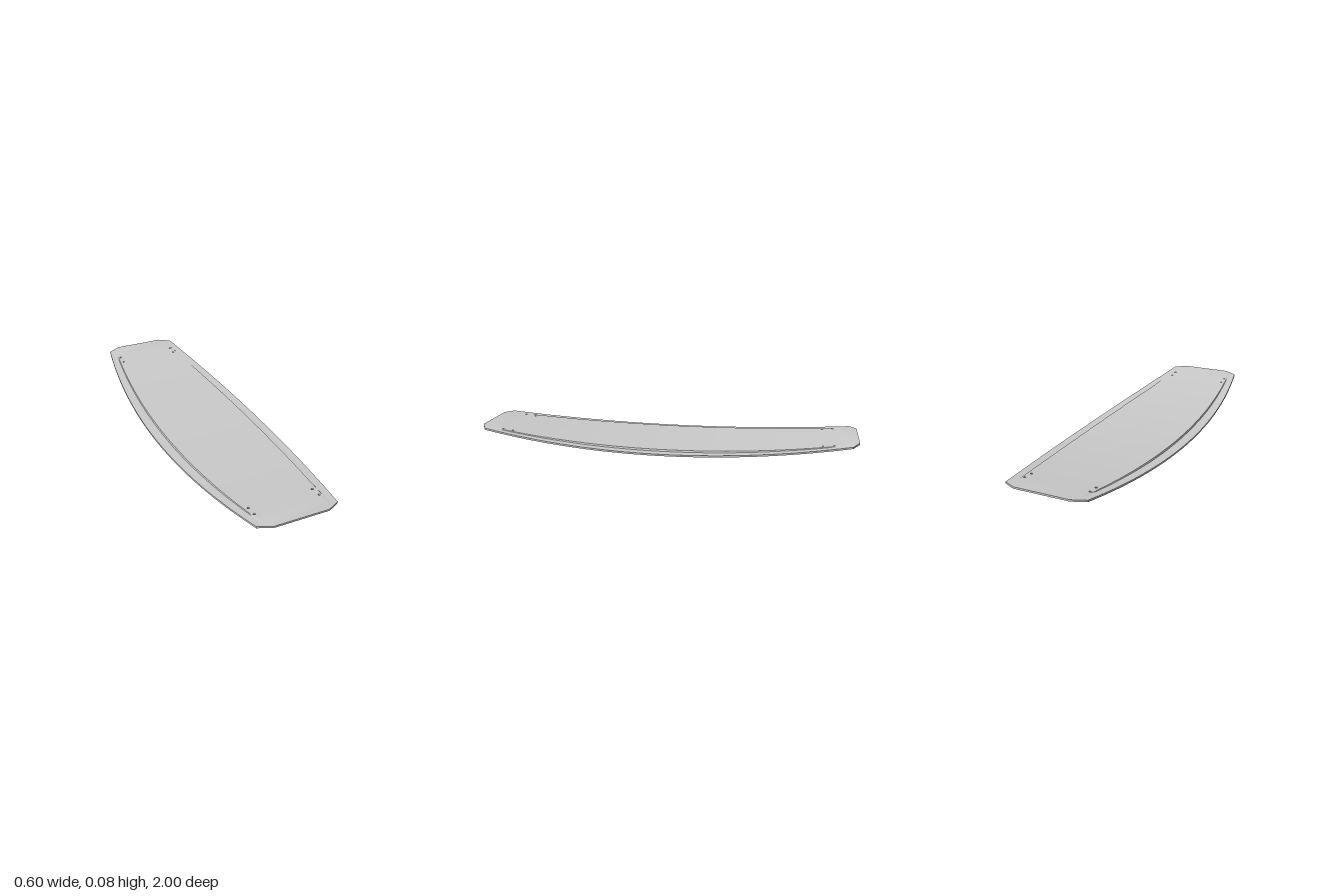
import * as THREE from 'three';
import { toCreasedNormals } from 'three/addons/utils/BufferGeometryUtils.js';

const CORNER = 0.965, HOLE_R = 0.006, HOLE_X = 0.167, STEP_W = 0.003;
const HOLE_Z = [0.82, 0.875];

// Plan outline: bowed sides, then clipped corners at both tips
function outer(z) {
  const a = Math.abs(z);
  if (a <= CORNER) return 0.298 - 0.092 * (a / CORNER) ** 2;
  return THREE.MathUtils.lerp(0.206, 0.14, (a - CORNER) / (1 - CORNER));
}
// Edge of the raised deck
const inner = z => Math.min(0.243 - 0.082 * z * z, outer(z) - 0.01);

// Rocker curve of the underside, rim surface and raised deck surface
const bottomY = z => 0.068 * z * z;
const rimY = z => bottomY(z) + 0.009;
const deckY = z => rimY(z) + 0.009 * Math.max(0, 1 - z * z);

function createBoard() {
  const pos = [];
  const tri = (...pts) => pts.forEach(p => pos.push(...p));
  const quad = (a, b, c, d) => { tri(a, b, c); tri(a, c, d); };

  // One half section: deck edge, foot of the step, rail top, rail bottom, underside
  const section = (z, s) => [
    [s * inner(z), deckY(z), z],
    [s * (inner(z) + STEP_W), rimY(z), z],
    [s * outer(z), rimY(z), z],
    [s * outer(z), bottomY(z), z],
    [s * inner(z), bottomY(z), z],
  ];

  // Middle panel of a slice, pierced by any holes lying in it
  const panel = (z0, z1) => {
    const shape = new THREE.Shape([
      new THREE.Vector2(-inner(z1), -z1), new THREE.Vector2(inner(z1), -z1),
      new THREE.Vector2(inner(z0), -z0), new THREE.Vector2(-inner(z0), -z0),
    ]);
    for (const hz of HOLE_Z.flatMap(h => [h, -h])) {
      if (hz < z0 || hz > z1) continue;
      for (const hx of [-HOLE_X, HOLE_X]) {
        shape.holes.push(new THREE.Path().absarc(hx, -hz, HOLE_R, 0, Math.PI * 2, true));
      }
    }
    const flat = new THREE.ShapeGeometry(shape, 6).toNonIndexed().attributes.position;
    for (let i = 0; i < flat.count; i += 3) {
      const at = (k, f) => [flat.getX(i + k), f(-flat.getY(i + k)), -flat.getY(i + k)];
      tri(at(0, deckY), at(1, deckY), at(2, deckY));
      tri(at(0, bottomY), at(2, bottomY), at(1, bottomY));
    }
  };

  // Slices along the length, placed so that each hole sits inside one slice
  const half = Array.from({ length: 15 }, (_, i) => (i + 1) * 0.05);
  half.push(0.79, 0.85, 0.9, CORNER, 1);
  const zs = [...half.map(z => -z).reverse(), 0, ...half];

  for (let i = 0; i < zs.length - 1; i++) {
    panel(zs[i], zs[i + 1]);
    for (const s of [1, -1]) {
      const a = section(zs[i], s), b = section(zs[i + 1], s);
      for (let k = 0; k < 4; k++) {
        if (s > 0) quad(a[k], b[k], b[k + 1], a[k + 1]);
        else quad(a[k], a[k + 1], b[k + 1], b[k]);
      }
    }
  }

  // Tip walls
  for (const z of [1, -1]) {
    const r = section(z, z), l = section(z, -z);
    quad(l[4], r[4], r[0], l[0]);
    for (const [p, flip] of [[r, false], [l, true]]) {
      const t = [[p[4], p[3], p[2]], [p[4], p[2], p[1]], [p[4], p[1], p[0]]];
      t.forEach(([a, b, c]) => (flip ? tri(a, c, b) : tri(a, b, c)));
    }
  }

  const geo = new THREE.BufferGeometry();
  geo.setAttribute('position', new THREE.Float32BufferAttribute(pos, 3));
  return toCreasedNormals(geo, 0.45);
}

// Inner wall of a fixing hole, following both surfaces
function createHoleWall(x, z) {
  const geo = new THREE.CylinderGeometry(HOLE_R, HOLE_R, 1, 12, 1, true);
  geo.translate(x, 0, z);
  const p = geo.attributes.position;
  for (let i = 0; i < p.count; i++) {
    p.setY(i, (p.getY(i) > 0 ? deckY : bottomY)(p.getZ(i)));
  }
  return geo;
}

export function createModel() {
  const group = new THREE.Group();
  group.name = 'rideBoard';
  const grey = new THREE.MeshStandardMaterial({ color: 0xcccccc });
  const thin = new THREE.MeshStandardMaterial({ color: 0xcccccc, side: THREE.DoubleSide });

  const board = new THREE.Mesh(createBoard(), grey);
  board.name = 'board';
  group.add(board);

  // Paired fixing holes near each corner
  for (const sx of [1, -1]) for (const sz of [1, -1]) for (const z of HOLE_Z) {
    const hole = new THREE.Mesh(createHoleWall(sx * HOLE_X, sz * z), thin);
    hole.name = 'fixingHole';
    group.add(hole);
  }
  return group;
}
